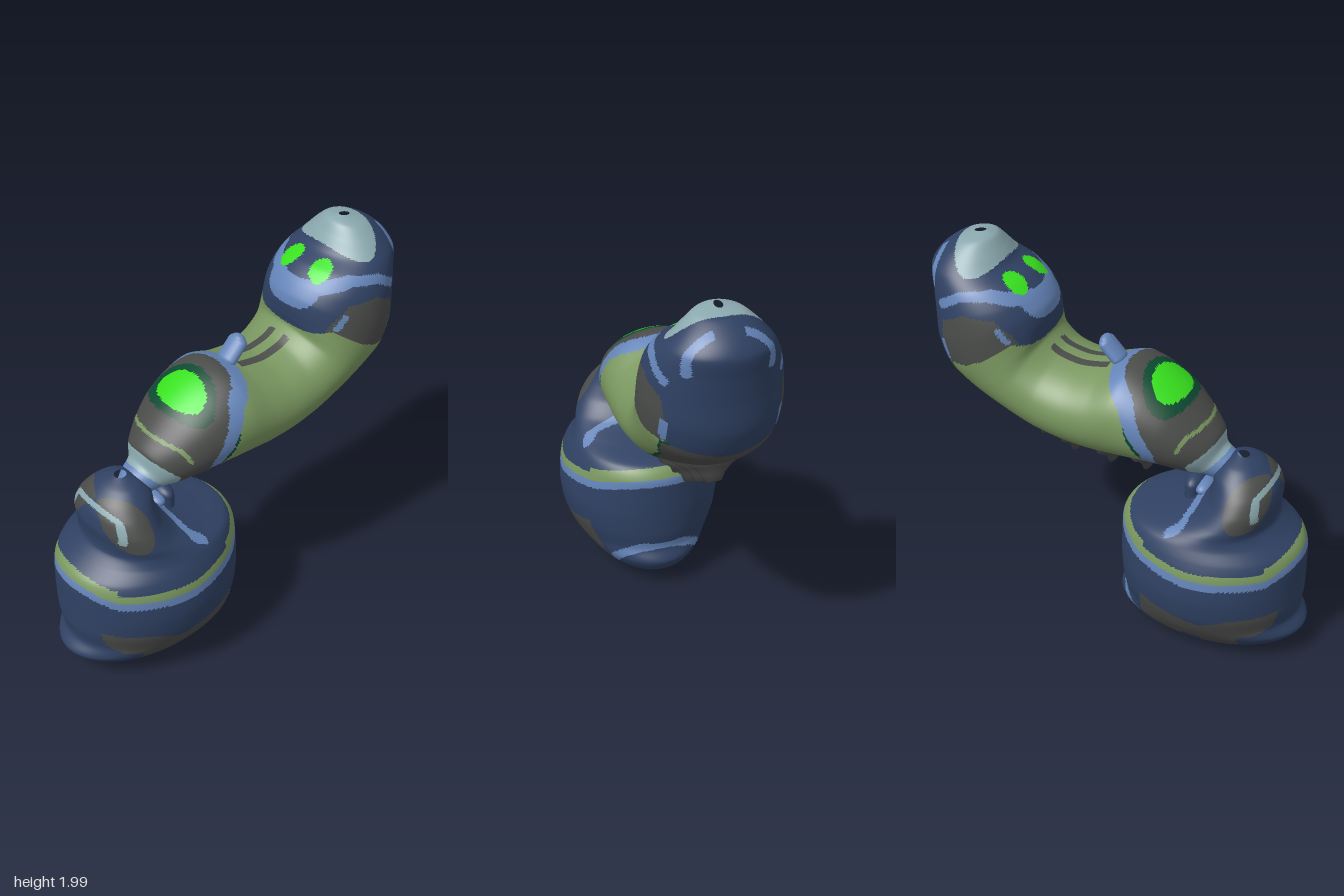
import * as THREE from 'three';

const paint = (name, color) => Object.assign(new THREE.MeshStandardMaterial({ color }), { name });
const MATS = [
  paint('navy', 0x2f4163), paint('charcoal', 0x4a4c4a), paint('olive', 0x79965f), paint('steelBlue', 0x6484b8),
  paint('paleTeal', 0x8aa8ae), paint('brightGreen', 0x38e01e), paint('darkGreen', 0x0d4a32),
];
const [NAVY, CHARCOAL, OLIVE, BLUE, TEAL, GREEN, DARK] = MATS.keys();

// is (x, y) inside a flat list of corners
function inside(x, y, p) {
  let hit = false;
  for (let i = 0, j = p.length - 2; i < p.length; j = i, i += 2) {
    if ((p[i + 1] > y) !== (p[j + 1] > y) &&
      x < (p[j] - p[i]) * (y - p[i + 1]) / (p[j + 1] - p[i + 1]) + p[i]) hit = !hit;
  }
  return hit;
}
// distance from (x, y) to a flat list of path points
function distance(x, y, p) {
  let best = Infinity;
  for (let i = 0; i + 3 < p.length; i += 2) {
    const dx = p[i + 2] - p[i], dy = p[i + 3] - p[i + 1];
    const t = THREE.MathUtils.clamp(((x - p[i]) * dx + (y - p[i + 1]) * dy) / (dx * dx + dy * dy), 0, 1);
    best = Math.min(best, Math.hypot(x - p[i] - t * dx, y - p[i + 1] - t * dy));
  }
  return best;
}
// height of a path at x
function pathY(x, p) {
  if (x <= p[0]) return p[1];
  for (let i = 0; i + 3 < p.length; i += 2) {
    if (x <= p[i + 2]) return p[i + 1] + (p[i + 3] - p[i + 1]) * (x - p[i]) / (p[i + 2] - p[i]);
  }
  return p[p.length - 1];
}
const oval = (a, b, ca, cb, ra, rb) => ((a - ca) / ra) ** 2 + ((b - cb) / rb) ** 2 < 1;

// smooth body from elliptical sections [ax, ay, bx, by, halfDepth], coloured by colourAt(x, y, z)
function loft(name, sections, colourAt, rows = 200, cols = 128) {
  const a = new THREE.CatmullRomCurve3(sections.map(s => new THREE.Vector3(s[0], s[1], s[4])), false, 'catmullrom', 0.4);
  const b = new THREE.CatmullRomCurve3(sections.map(s => new THREE.Vector3(s[2], s[3], 0)), false, 'catmullrom', 0.4);
  const pos = [];
  for (let i = 0; i <= rows; i++) {
    const A = a.getPoint(i / rows), B = b.getPoint(i / rows);
    for (let j = 0; j < cols; j++) {
      const t = j / cols * Math.PI * 2, c = Math.cos(t);
      pos.push((A.x + B.x + (A.x - B.x) * c) / 2,
        Math.max(0, (A.y + B.y + (A.y - B.y) * c) / 2), Math.max(0.002, A.z) * Math.sin(t));
    }
  }
  const faces = MATS.map(() => []);
  const add = (...tri) => {
    const [x, y, z] = [0, 1, 2].map(k => tri.reduce((sum, v) => sum + pos[v * 3 + k], 0) / 3);
    faces[colourAt(x, y, z)].push(...tri);
  };
  for (let i = 0; i < rows; i++) for (let j = 0; j < cols; j++) {
    const k = (j + 1) % cols, p = i * cols + j, q = i * cols + k;
    add(p, p + cols, q);
    add(q, p + cols, q + cols);
  }
  const geo = new THREE.BufferGeometry();
  geo.setAttribute('position', new THREE.Float32BufferAttribute(pos, 3));
  geo.setIndex(faces.flat());
  let start = 0;
  faces.forEach((f, m) => { if (f.length) geo.addGroup(start, f.length, m); start += f.length; });
  geo.computeVertexNormals();
  const mesh = new THREE.Mesh(geo, MATS);
  mesh.name = name;
  return mesh;
}

// base: sections stacked upward, right edge then left edge
const BASE = [
  [-0.49, 0, -0.51, 0, 0.01], [-0.22, 0, -0.78, 0, 0.15], [-0.2, 0.04, -0.82, 0.04, 0.21],
  [-0.06, 0.09, -0.94, 0.09, 0.265], [-0.01, 0.16, -1, 0.16, 0.32], [-0.04, 0.23, -0.96, 0.23, 0.365],
  [-0.03, 0.32, -0.97, 0.32, 0.4], [-0.025, 0.44, -0.97, 0.44, 0.417], [-0.025, 0.57, -0.97, 0.57, 0.405],
  [-0.03, 0.65, -0.945, 0.64, 0.38], [-0.08, 0.71, -0.87, 0.7, 0.35], [-0.24, 0.75, -0.82, 0.75, 0.325],
  [-0.4, 0.8, -0.815, 0.8, 0.3], [-0.48, 0.87, -0.825, 0.87, 0.265], [-0.5, 0.94, -0.815, 0.94, 0.22],
  [-0.5, 1, -0.78, 1, 0.17], [-0.54, 1.05, -0.72, 1.05, 0.11], [-0.6, 1.085, -0.66, 1.08, 0.03],
];
const RIM = [-0.97, 0.6, -0.87, 0.545, -0.5, 0.54, -0.2, 0.58, -0.02, 0.64];
const PANEL = [-0.92, 0.35, -0.72, 0.335, -0.57, 0.28, -0.4, 0.32, -0.24, 0.345, -0.22, 0.18, -0.2, 0.04,
  -0.4, 0.04, -0.46, 0.14, -0.55, 0.13, -0.57, 0.04, -0.72, 0.04, -0.75, 0.19, -0.83, 0.2, -0.9, 0.26];
function baseColour(x, y, z) {
  const d = y - pathY(x, RIM);
  if (Math.abs(d) < 0.021) return BLUE;
  if (d > 0 && d < (x < -0.85 || x > -0.25 ? 0.085 : 0.06)) return OLIVE;
  if (inside(x, y, PANEL)) return CHARCOAL;
  if (distance(x, y, [-0.18, 0.13, -0.05, 0.25]) < 0.02) return BLUE;
  if (distance(x, y, [-0.8, 0.99, -0.76, 0.95, -0.77, 0.85]) < 0.014) return TEAL;
  if (oval(x, y, -0.72, 0.91, 0.09, 0.12)) return CHARCOAL;
  if (distance(x, y, [-0.45, 0.84, -0.42, 0.76, -0.37, 0.73]) < 0.016) return BLUE;
  return NAVY;
}

// arm: sections from neck to tip, lower edge then upper edge
const ARM = [
  [-0.6, 0.95, -0.64, 1.03, 0.04], [-0.52, 0.93, -0.58, 1.07, 0.09], [-0.43, 0.945, -0.53, 1.1, 0.12],
  [-0.35, 0.95, -0.51, 1.17, 0.17], [-0.26, 0.97, -0.44, 1.25, 0.225], [-0.18, 0.975, -0.33, 1.36, 0.265],
  [-0.08, 0.97, -0.2, 1.44, 0.29], [0.02, 0.965, -0.07, 1.48, 0.3], [0.12, 0.97, 0.07, 1.435, 0.3],
  [0.26, 0.99, 0.2, 1.415, 0.3], [0.42, 1.03, 0.32, 1.44, 0.3], [0.6, 1.11, 0.39, 1.5, 0.31],
  [0.76, 1.19, 0.385, 1.56, 0.32], [0.9, 1.29, 0.38, 1.62, 0.33], [0.965, 1.44, 0.39, 1.68, 0.33],
  [0.975, 1.6, 0.43, 1.74, 0.315], [0.985, 1.72, 0.5, 1.8, 0.285], [0.995, 1.82, 0.59, 1.845, 0.24],
  [0.95, 1.89, 0.64, 1.91, 0.18], [0.87, 1.95, 0.68, 1.965, 0.11], [0.79, 1.975, 0.73, 1.985, 0.02],
];
const BELLY = [-0.25, 1.02, 0, 1, 0.25, 1.035, 0.5, 1.12, 0.7, 1.25, 0.8, 1.37];
const STRAP = [0.01, 1.47, -0.11, 1.37, -0.17, 1.24, -0.23, 1.12, -0.23, 1.02];
const TIP_EDGE = [0.36, 1.5, 0.47, 1.545, 0.6, 1.46, 0.7, 1.41, 0.84, 1.38, 1.1, 1.2];
const CUFF = [0.42, 1.47, 0.47, 1.59, 0.55, 1.67, 0.7, 1.68, 0.83, 1.61, 0.85, 1.5, 0.83, 1.37, 0.7, 1.38, 0.55, 1.42];
function armColour(x, y, z) {
  // tip
  if (x > 0.34 && y > pathY(x, TIP_EDGE)) {
    if (y > 1.8 && oval(x, z, 0.73, 0, 0.115, 0.23)) return TEAL;
    if (y > 1.7 && oval(x, Math.abs(z), 0.525, 0.1, 0.06, 0.055)) return GREEN;
    if (distance(x, y, [0.38, 1.65, 0.45, 1.735, 0.6, 1.775, 0.73, 1.76, 0.84, 1.69]) < 0.022) return BLUE;
    if (distance(x, y, [0.91, 1.93, 0.92, 1.75]) < 0.018 && Math.abs(z) > 0.07) return BLUE;
    if (distance(x, y, [0.49, 1.56, 0.53, 1.62]) < 0.013 || distance(x, y, [0.82, 1.41, 0.84, 1.49]) < 0.018) return BLUE;
    return inside(x, y, CUFF) ? CHARCOAL : NAVY;
  }
  // neck and shoulder
  if (y > 1.2 && oval(x, z, -0.255, 0, 0.085, 0.155)) return GREEN;
  if (y > 1.2 && oval(x, z, -0.25, 0, 0.12, 0.215)) return DARK;
  if (distance(x, y, STRAP) < 0.034) return BLUE;
  if (x < -0.4 && y < 1.14 - (x + 0.5) * 0.9) return x + y < 0.53 ? BLUE : TEAL;
  if (distance(x, y, [-0.45, 1.235, -0.4, 1.21, -0.37, 1.15]) < 0.01) return OLIVE;
  if (inside(x, y, [...STRAP, -0.7, 0.85, -0.7, 1.6])) return CHARCOAL;
  // middle
  const d = y - pathY(x, BELLY);
  if (d < 0) return CHARCOAL;
  if (d < 0.014 || distance(x, y, [-0.12, 1.32, -0.15, 1.2, -0.2, 1.08]) < 0.012) return DARK;
  if (y > 1.38 && x > 0.06 && x < 0.36 && Math.abs(z) < 0.07 && Math.abs(z) > 0.025) return CHARCOAL;
  return OLIVE;
}

export function createModel() {
  const group = new THREE.Group();
  group.add(loft('base', BASE, baseColour), loft('arm', ARM, armColour));
  const part = (name, geo, colour, x, y, scale, tilt = 0) => {
    const mesh = new THREE.Mesh(geo, MATS[colour]);
    mesh.name = name;
    mesh.position.set(x, y, 0);
    mesh.scale.set(...scale);
    mesh.rotation.z = tilt;
    group.add(mesh);
  };

  // ridged spikes along the underside, tip at the origin
  const spike = new THREE.LatheGeometry(
    [[0.001, 0], [0.018, 0.005], [0.024, 0.04], [0.04, 0.08], [0.065, 0.12], [0.075, 0.2]].map(p => new THREE.Vector2(...p)), 24);
  [[-0.13, 0.865, 0], [0.06, 0.855, 0], [0.265, 0.87, 0.08], [0.44, 0.92, 0.15], [0.59, 1.005, 0.2], [0.735, 1.085, 0.2]]
    .forEach(([x, y, tilt]) => part('spike', spike, CHARCOAL, x, y, [1, 1, 2.4], tilt));

  // knob on top of the arm
  part('knob', new THREE.CapsuleGeometry(0.036, 0.09, 8, 20), BLUE, 0.06, 1.49, [1, 1, 1.6], -0.75);
  part('knobTip', new THREE.SphereGeometry(0.035, 20, 14), BLUE, 0.095, 1.53, [0.9, 1, 1.3]);

  // horn beside the neck and its collar
  part('horn', new THREE.CapsuleGeometry(0.045, 0.08, 8, 20), NAVY, -0.385, 0.81, [1, 1, 1.7]);
  part('hornCollar', new THREE.SphereGeometry(0.05, 20, 14), BLUE, -0.44, 0.84, [0.9, 0.7, 1.5]);

  // small feet under the base
  for (const x of [-0.76, -0.6, -0.4, -0.25]) {
    part('foot', new THREE.SphereGeometry(0.045, 20, 14), CHARCOAL, x, 0.045, [1.1, 0.95, 3]);
  }
  return group;
}
